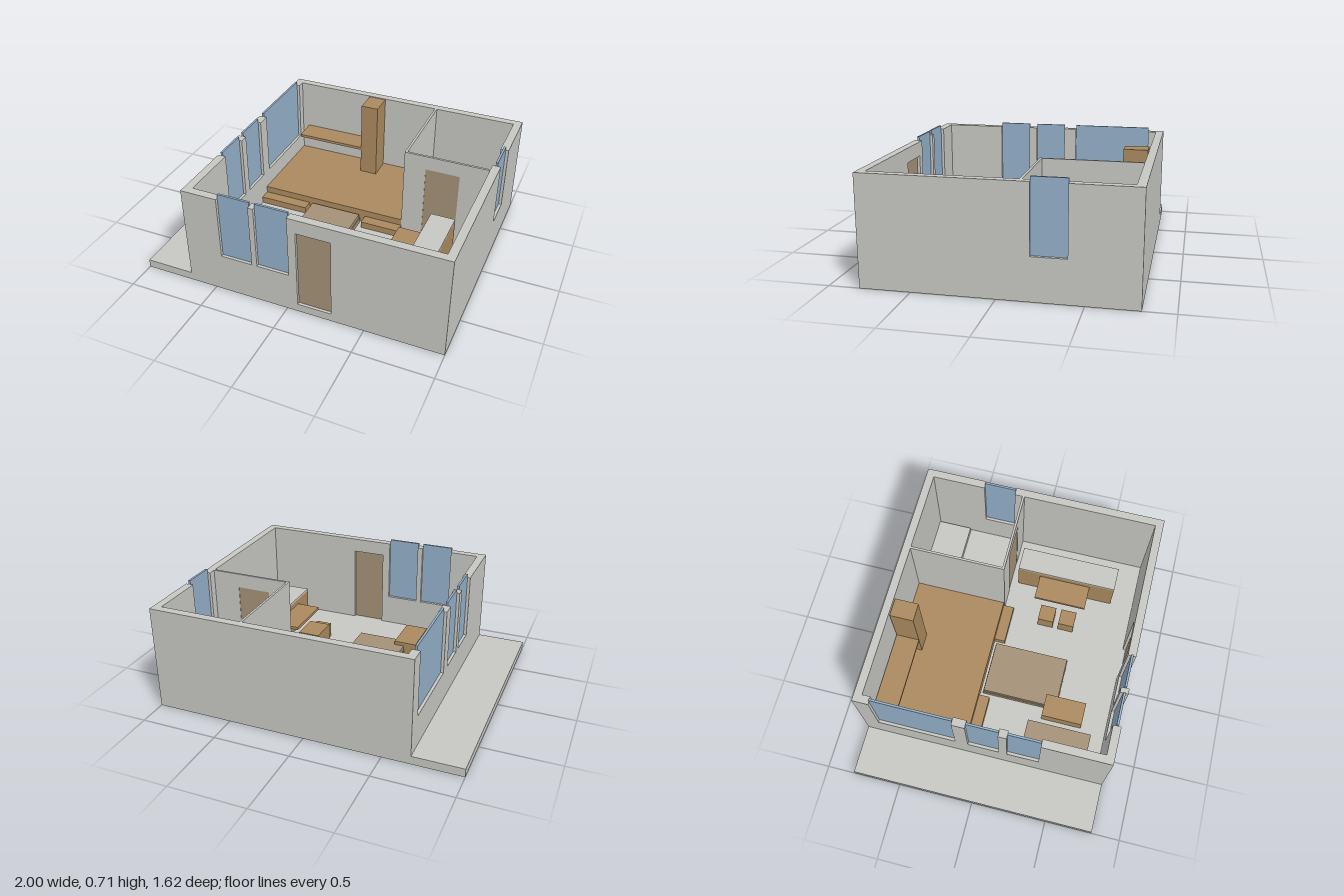
import * as THREE from 'three';

const mat = (name, color) => {
  const m = new THREE.MeshStandardMaterial({ color });
  m.name = name;
  return m;
};

export function createModel() {
  const house = new THREE.Group();
  house.name = 'house';
  const plaster = mat('plaster', 0xc6c7c2);
  const wood = mat('wood', 0xab895e);
  const taupe = mat('taupe', 0xa39176);
  const glass = mat('glass', 0x93afc8);

  const FLOOR = 0.055, TOP = 0.685, SILL = 0.265, GLASS_TOP = 0.71, DOOR_TOP = 0.59;
  const WALL = 0.052, THIN = 0.015;

  // box given by its extents on each axis
  function box(name, material, [x0, x1], [y0, y1], [z0, z1], parent = house) {
    const mesh = new THREE.Mesh(new THREE.BoxGeometry(x1 - x0, y1 - y0, z1 - z0), material);
    mesh.position.set((x0 + x1) / 2, (y0 + y1) / 2, (z0 + z1) / 2);
    mesh.name = name;
    parent.add(mesh);
    return mesh;
  }

  // wall along x or z, with doorways in its base and window notches in its top
  function wall(name, axis, [from, to], at, thick, windows = [], doors = []) {
    const group = new THREE.Group();
    group.name = name;
    const s = new THREE.Shape();
    s.moveTo(from, FLOOR);
    for (const [a, b] of doors) {
      s.lineTo(a, FLOOR);
      s.lineTo(a, DOOR_TOP);
      s.lineTo(b, DOOR_TOP);
      s.lineTo(b, FLOOR);
    }
    s.lineTo(to, FLOOR);
    s.lineTo(to, TOP);
    for (const [a, b] of [...windows].reverse()) {
      s.lineTo(b, TOP);
      s.lineTo(b, SILL);
      s.lineTo(a, SILL);
      s.lineTo(a, TOP);
    }
    s.lineTo(from, TOP);
    s.closePath();
    const geo = new THREE.ExtrudeGeometry(s, { depth: thick, bevelEnabled: false });
    geo.translate(0, 0, -thick / 2);
    if (axis === 'z') geo.rotateY(-Math.PI / 2);
    geo.translate(axis === 'z' ? at : 0, 0, axis === 'x' ? at : 0);
    const mesh = new THREE.Mesh(geo, plaster);
    mesh.name = name + 'Panel';
    group.add(mesh);

    // panes and door leaves sit in the middle of the wall
    const leaf = (part, material, span, ys, t) => {
      const across = [at - t / 2, at + t / 2];
      if (axis === 'x') box(part, material, span, ys, across, group);
      else box(part, material, across, ys, span, group);
    };
    windows.forEach((w) => leaf('windowPane', glass, w, [SILL, GLASS_TOP], 0.014));
    doors.forEach((d) => leaf('door', taupe, d, [FLOOR, DOOR_TOP], Math.min(0.014, thick * 0.6)));
    house.add(group);
  }

  // ground slab with the terrace on the right-hand side
  box('slab', plaster, [-1, 1], [0, FLOOR], [-0.81, 0.81]);

  // outer walls
  const half = WALL / 2, inner = [-0.81 + WALL, 0.81 - WALL];
  wall('frontWall', 'x', [-0.68, 1], 0.81 - half, WALL, [[-0.44, -0.23], [-0.195, 0.018]], [[0.07, 0.29]]);
  wall('backWall', 'x', [-0.68, 1], -0.81 + half, WALL);
  wall('rightWall', 'z', inner, -0.68 + half, WALL, [[-0.705, -0.185], [-0.1, 0.105], [0.16, 0.37]]);
  wall('leftWall', 'z', inner, 1 - half, WALL, [[-0.405, -0.195]]);

  // bathroom partitions
  wall('bathFrontPartition', 'x', [0.395, 1 - WALL], -0.136, THIN, [], [[0.54, 0.765]]);
  wall('bathSidePartition', 'z', [inner[0], -0.136 - THIN / 2], 0.395 + THIN / 2, THIN);

  // raised wooden platform with a step on each side of the bed recess
  const PLATFORM = 0.146;
  box('platform', wood, [-0.628, 0.395], [FLOOR, PLATFORM], [inner[0], -0.133]);
  for (const span of [[-0.628, -0.29], [0.13, 0.395]])
    box('platformStep', wood, span, [FLOOR, 0.1], [-0.133, -0.06]);
  box('wardrobe', wood, [-0.09, 0.03], [PLATFORM, TOP - 0.001], [-0.75, -0.595]);
  box('deskTop', wood, [-0.575, -0.09], [0.325, 0.345], [-0.75, -0.595]);

  // low bed
  box('bedBase', taupe, [-0.26, 0.1], [FLOOR, 0.09], [-0.115, 0.4]);
  box('mattress', taupe, [-0.255, 0.095], [0.09, 0.12], [-0.11, 0.395]);

  // sofa and coffee table
  box('sofaSeat', taupe, [-0.567, -0.395], [FLOOR, 0.16], [0.235, 0.665]);
  box('sofaBack', taupe, [-0.615, -0.567], [FLOOR, 0.25], [0.235, 0.665]);
  box('coffeeTable', wood, [-0.34, -0.187], [FLOOR, 0.145], [0.315, 0.59]);

  // kitchen island, breakfast bar and stools
  box('islandCabinet', wood, [0.612, 0.775], [FLOOR, 0.28], [-0.08, 0.6]);
  box('islandTop', plaster, [0.612, 0.775], [0.28, 0.295], [-0.08, 0.6]);
  box('breakfastBar', wood, [0.447, 0.612], [0.225, 0.245], [0.075, 0.43]);
  for (const z of [0.13, 0.275])
    box('stool', wood, [0.33, 0.44], [FLOOR, 0.157], [z, z + 0.108]);

  // bathroom fittings
  box('toilet', plaster, [0.46, 0.56], [FLOOR, 0.2], [-0.757, -0.59]);
  box('showerTray', plaster, [0.625, 0.935], [FLOOR, 0.1], [-0.757, -0.525]);
  box('washCabinet', wood, [0.42, 0.55], [FLOOR, 0.27], [-0.435, -0.267]);

  return house;
}
